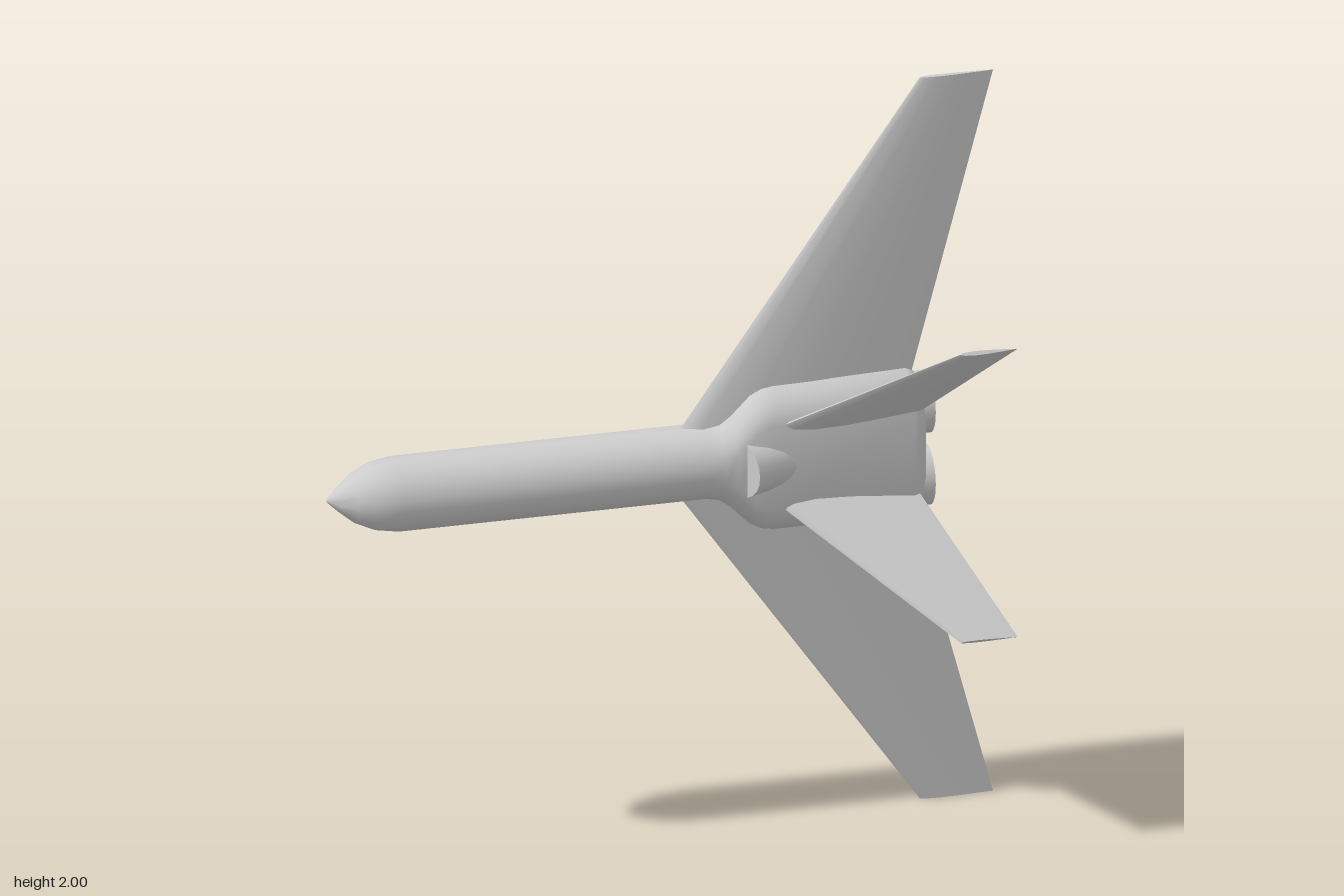
import * as THREE from 'three';
import { toCreasedNormals } from 'three/addons/utils/BufferGeometryUtils.js';

const material = new THREE.MeshStandardMaterial({ color: 0xcccccc });

// Skin a row of closed loops [[x, y, z], ...] and cap both ends.
function loft(loops, crease) {
  const n = loops[0].length;
  const index = [];
  for (let i = 0; i < loops.length - 1; i++) {
    for (let j = 0; j < n; j++) {
      const a = i * n + j, b = i * n + (j + 1) % n;
      index.push(a, b, a + n, b, b + n, a + n);
    }
  }
  const last = (loops.length - 1) * n;
  for (let j = 1; j < n - 1; j++) {
    index.push(0, j + 1, j, last, last + j, last + j + 1);
  }
  const geometry = new THREE.BufferGeometry();
  geometry.setAttribute('position', new THREE.Float32BufferAttribute(loops.flat(2), 3));
  geometry.setIndex(index);
  return toCreasedNormals(geometry, crease);
}

function addMesh(parent, name, geometry) {
  const mesh = new THREE.Mesh(geometry, material);
  mesh.name = name;
  parent.add(mesh);
  return mesh;
}

// Stadium section: two half circles of radius r, moved apart by s up and down.
function bodyLoop([x, r, s]) {
  const loop = [];
  for (let j = 0; j < 20; j++) {
    const a = ((j + 0.5) / 20) * Math.PI * 2;
    const y = Math.cos(a);
    loop.push([x, y * r + Math.sign(y) * s, Math.sin(a) * r]);
  }
  return loop;
}

// Symmetric airfoil as [chord fraction, half thickness fraction].
const foil = [[0.02, 0.35], [0.08, 0.7], [0.25, 1], [0.5, 0.85], [0.75, 0.45]];

// Wing rising along +y; each station is [span, leading x, trailing x, half thickness].
function wingGeometry(stations) {
  const loops = stations.map(([y, lead, trail, t]) => {
    const point = ([c, h], side) => [lead + (trail - lead) * c, y, side * h * t];
    return [
      point([0, 0], 1),
      ...foil.map((p) => point(p, 1)),
      point([1, 0], 1),
      ...[...foil].reverse().map((p) => point(p, -1)),
    ];
  });
  return loft(loops, 0.7);
}

export function createModel() {
  const model = new THREE.Group();
  model.name = 'aircraft';

  // Everything is laid out around the fuselage axis.
  const craft = new THREE.Group();
  craft.name = 'airframe';
  craft.position.set(0, 1, -0.165);
  model.add(craft);

  // Pointed nose, round tube, flare into the wide engine bay, bevelled tail.
  const bodySections = [
    [-0.89, 0.004, 0], [-0.86, 0.032, 0], [-0.82, 0.065, 0], [-0.77, 0.088, 0], [-0.71, 0.098, 0],
    [0.11, 0.098, 0], [0.15, 0.099, 0.008], [0.18, 0.1, 0.03], [0.23, 0.101, 0.08],
    [0.26, 0.101, 0.096], [0.29, 0.101, 0.1], [0.65, 0.1, 0.1], [0.665, 0.095, 0.099], [0.685, 0.078, 0.095],
  ];
  addMesh(craft, 'fuselage', loft(bodySections.map(bodyLoop), 0.6));

  // Swept main wings.
  const mainWing = wingGeometry([[0.05, 0.02, 0.631, 0.028], [1, 0.69, 0.885, 0.008]]);
  addMesh(craft, 'leftWing', mainWing);
  addMesh(craft, 'rightWing', mainWing).rotation.x = Math.PI;

  // Splayed tail fins.
  const fin = wingGeometry([[-0.05, 0.257, 0.646, 0.018], [0.436, 0.68, 0.832, 0.006]]);
  for (const side of [1, -1]) {
    const mesh = addMesh(craft, side > 0 ? 'upperTailFin' : 'lowerTailFin', fin);
    mesh.position.set(0, 0.115 * side, 0.095);
    mesh.rotation.x = side > 0 ? 0.859 : Math.PI - 0.859;
  }

  // Engine nozzles.
  const nozzle = new THREE.CylinderGeometry(0.081, 0.081, 0.1, 32);
  nozzle.rotateZ(-Math.PI / 2);
  for (const side of [1, -1]) {
    const mesh = addMesh(craft, side > 0 ? 'upperNozzle' : 'lowerNozzle', nozzle);
    mesh.position.set(0.66, 0.1 * side, 0);
  }

  // Tilted air intake sunk into the body.
  const intake = new THREE.CylinderGeometry(0.075, 0.068, 0.18, 20);
  intake.translate(0, -0.09, 0);
  intake.rotateZ(Math.PI / 2);
  const intakeMesh = addMesh(craft, 'airIntake', intake);
  intakeMesh.position.set(0.195, 0, 0.08);
  intakeMesh.rotation.y = 0.38;

  return model;
}
